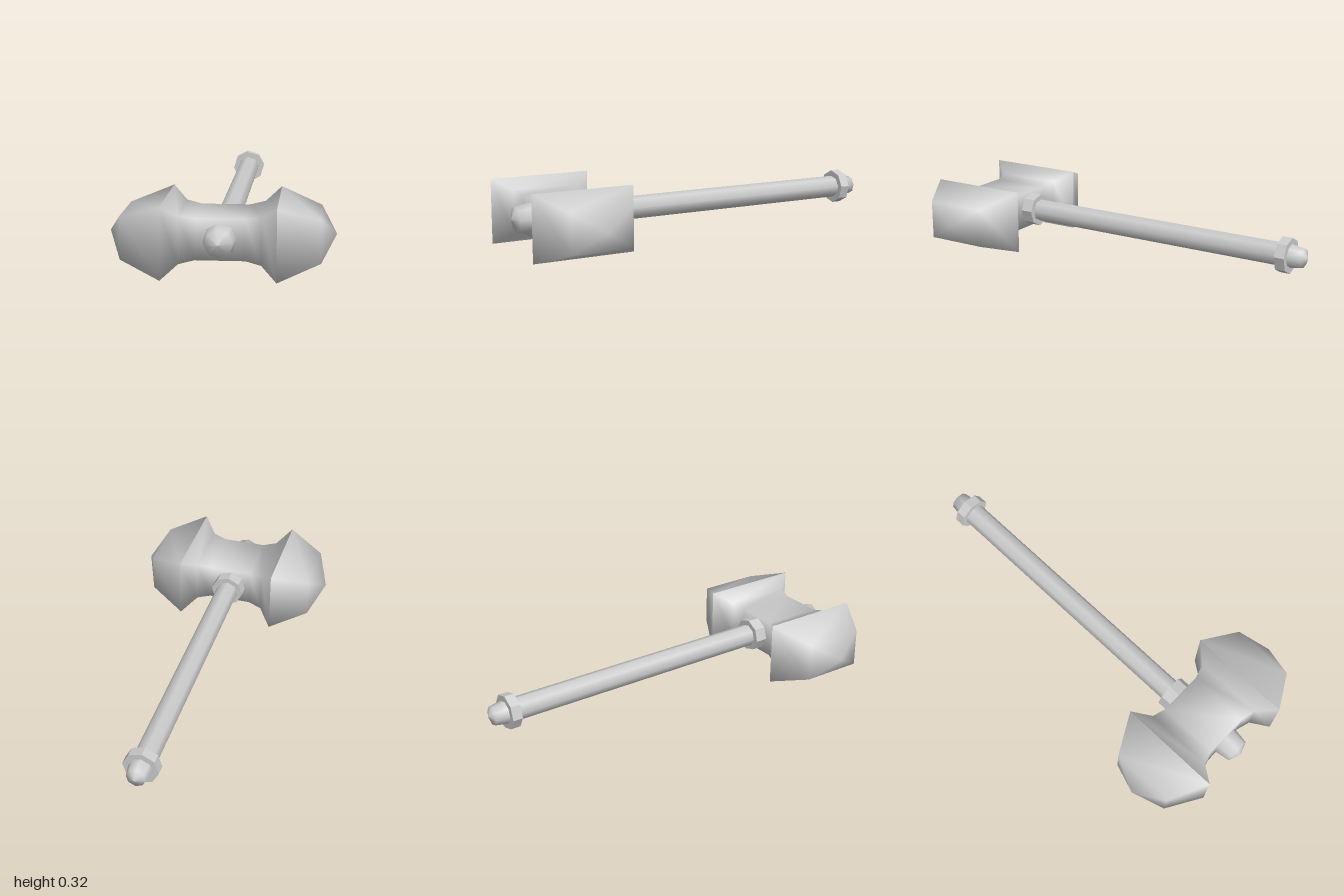
import * as THREE from 'three';
import { mergeVertices } from 'three/addons/utils/BufferGeometryUtils.js';

const AXIS_Y = 0.159; // height of the handle axis
const HEAD_Z = 0.743; // centre of the head along the handle
const SIDES = 8;
const TWIST = 0.1; // slight turn of the eight-sided parts

// Skin of rectangular cross-sections [x, halfHeight, halfDepth], smooth inside one piece
function rectLoft(sections) {
  const pos = [], index = [];
  for (const [x, h, d] of sections) {
    for (const [sy, sz] of [[1, 1], [-1, 1], [-1, -1], [1, -1]]) pos.push(x, sy * h, sz * d);
  }
  for (let i = 0; i < sections.length - 1; i++) {
    for (let j = 0; j < 4; j++) {
      const k = (j + 1) % 4;
      const a = i * 4 + j, b = i * 4 + k, c = b + 4, e = a + 4;
      index.push(a, b, c, a, c, e);
    }
  }
  let geo = new THREE.BufferGeometry();
  geo.setAttribute('position', new THREE.Float32BufferAttribute(pos, 3));
  geo.setIndex(index);
  geo = mergeVertices(geo);
  geo.computeVertexNormals();
  return geo;
}

export function createModel() {
  const group = new THREE.Group();
  const smooth = new THREE.MeshStandardMaterial({ color: 0xcccccc });
  const flat = new THREE.MeshStandardMaterial({ color: 0xcccccc, flatShading: true });

  const add = (name, geo, mat, z = 0) => {
    const mesh = new THREE.Mesh(geo, mat);
    mesh.name = name;
    mesh.position.set(0, AXIS_Y, z);
    group.add(mesh);
    return mesh;
  };

  // Eight-sided cylinder running along z
  const rod = (name, r, z0, z1, mat) =>
    add(name, new THREE.CylinderGeometry(r, r, z1 - z0, SIDES, 1, false, TWIST).rotateX(Math.PI / 2),
      mat, (z0 + z1) / 2);

  // Eight-sided turned part along z, profile as [radius, z] with z rising
  const turned = (name, profile) =>
    add(name, new THREE.LatheGeometry(profile.map(([r, z]) => new THREE.Vector2(r, z)), SIDES, TWIST)
      .rotateX(Math.PI / 2), smooth);

  // Head: waisted neck
  add('headNeck', rectLoft([
    [-0.25, 0.159, 0.255], [-0.18, 0.107, 0.17], [-0.11, 0.093, 0.151],
    [0.11, 0.093, 0.151], [0.18, 0.107, 0.17], [0.25, 0.159, 0.255],
  ]), smooth, HEAD_Z);

  // Head: tapering striking ends, one per side
  const endGeo = rectLoft([[0.25, 0.159, 0.255], [0.437, 0.096, 0.156], [0.504, 0, 0]]);
  add('leftStrikingEnd', endGeo, smooth, HEAD_Z);
  add('rightStrikingEnd', endGeo, smooth, HEAD_Z).rotation.y = Math.PI;

  // Handle with collar at the head and ring at the grip end
  rod('handle', 0.057, -0.89, 0.62, smooth);
  rod('headCollar', 0.084, 0.53, 0.61, flat);
  rod('pommelRing', 0.087, -0.915, -0.865, flat);

  // Domed tips of the handle
  turned('pommel', [[0, -1], [0.047, -0.98], [0.058, -0.91]]);
  turned('frontBoss', [[0.075, 0.87], [0.073, 0.9], [0.062, 0.975], [0, 0.997]]);

  return group;
}
